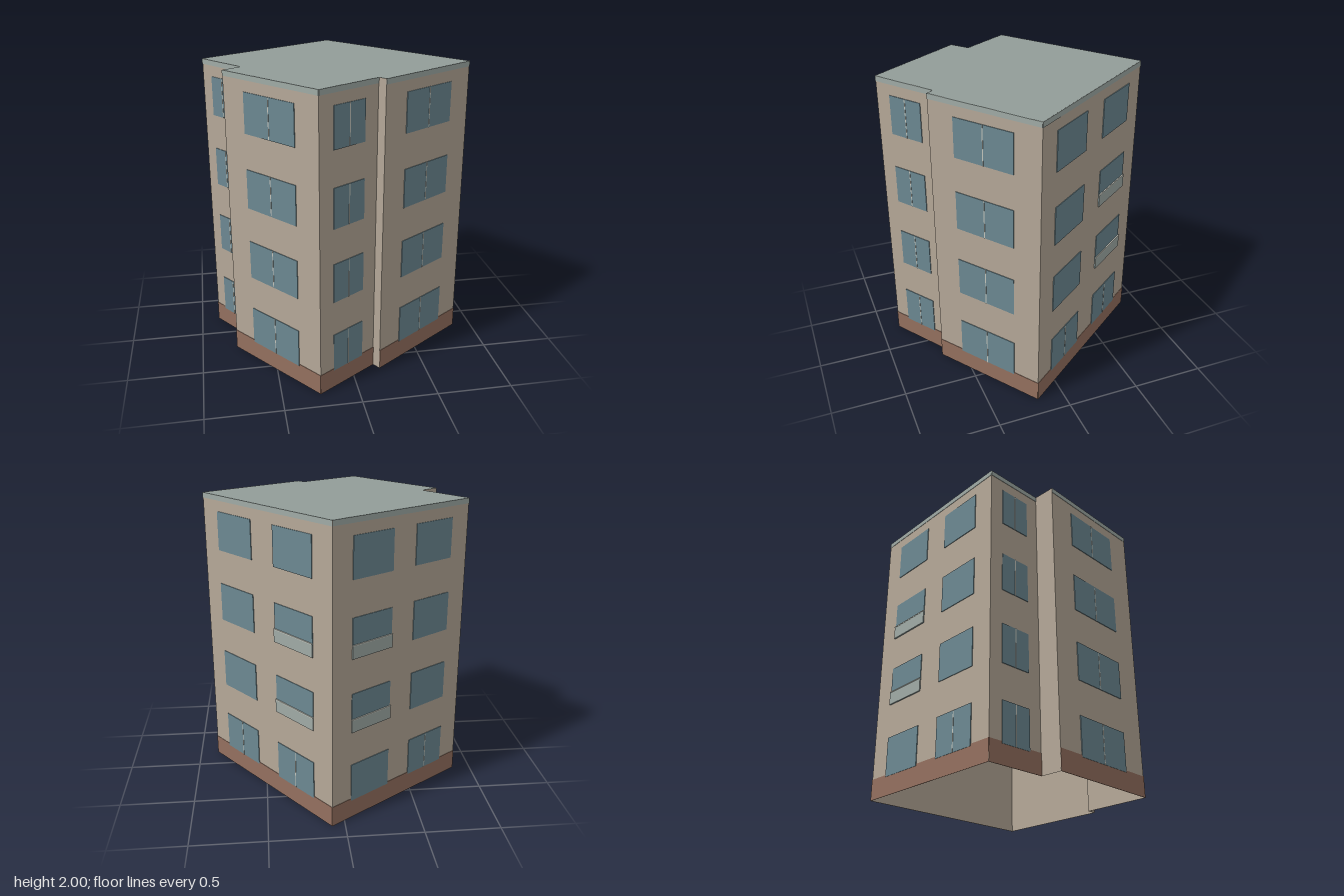
import * as THREE from 'three';

const H = 2;
const mat = (color, side = THREE.FrontSide) =>
  new THREE.MeshStandardMaterial({ color, side, flatShading: true });

// Footprint corners (x, z), running left to right as seen from outside
const E = [-0.25, 0.87], D = [0.155, 0.60], C = [0.19, 0.65], B = [0.87, 0.18];
const A = [0.085, -0.875], I = [-0.873, -0.22], G = [-0.635, 0.12], F = [-0.755, 0.21];

// Window spans are fractions of the wall; mullion: floors that have one; balcony: has railings
const allFloors = [0, 1, 2, 3];
const single = [{ from: 0.235, to: 0.768, mullion: allFloors }];
const walls = [
  { name: 'frontRightNarrowWall', p: E, q: D, windows: single },
  { name: 'frontReturnWall', p: D, q: C },
  { name: 'frontRightWideWall', p: C, q: B, windows: single },
  { name: 'backRightWall', p: B, q: A, windows: [
    { from: 0.127, to: 0.41, mullion: [0] },
    { from: 0.583, to: 0.866, mullion: [0], balcony: true }] },
  { name: 'backLeftWall', p: A, q: I, windows: [
    { from: 0.135, to: 0.418, mullion: [], balcony: true },
    { from: 0.586, to: 0.866, mullion: [0] }] },
  { name: 'frontLeftNarrowWall', p: I, q: G, windows: single },
  { name: 'sideReturnWall', p: G, q: F },
  { name: 'frontLeftWideWall', p: F, q: E, windows: single },
];

export function createModel() {
  const model = new THREE.Group();
  model.name = 'apartmentBuilding';
  const wallMat = mat(0xb5a898, THREE.DoubleSide);
  const roofMat = mat(0x929d99, THREE.DoubleSide);
  const plinthMat = mat(0x94705f);
  const glassMat = mat(0x6c8892);
  const trimMat = mat(0xa0aba6);
  const frameMat = mat(0xc4c6bd);

  // Thin slab standing on the outer face of a wall
  const slab = (parent, name, material, x0, x1, y0, y1, z0, z1) => {
    const mesh = new THREE.Mesh(new THREE.BoxGeometry(x1 - x0, y1 - y0, z1 - z0), material);
    mesh.position.set((x0 + x1) / 2, (y0 + y1) / 2, (z0 + z1) / 2);
    mesh.name = name;
    parent.add(mesh);
  };

  for (const { name, p, q, windows } of walls) {
    const dx = q[0] - p[0], dz = q[1] - p[1], len = Math.hypot(dx, dz);
    // Local x runs along the wall, local z points outward
    const group = new THREE.Group();
    group.name = name;
    group.position.set(p[0], 0, p[1]);
    group.rotation.y = Math.atan2(-dz, dx);
    model.add(group);

    const wall = new THREE.Mesh(new THREE.PlaneGeometry(len, H).translate(len / 2, H / 2, 0), wallMat);
    wall.name = 'wall';
    group.add(wall);
    if (!windows) continue;

    slab(group, 'plinth', plinthMat, 0, len, 0, 0.14, 0.0005, 0.003);
    slab(group, 'parapetBand', trimMat, 0, len, 1.965, H, 0.0005, 0.003);

    for (const { from, to, mullion, balcony } of windows) {
      const x0 = from * len, x1 = to * len, mid = (x0 + x1) / 2;
      for (const floor of allFloors) {
        const y = 0.127 + floor * 0.5;
        slab(group, 'window', glassMat, x0, x1, y, y + 0.265, 0.0005, 0.005);
        if (mullion.includes(floor))
          slab(group, 'mullion', frameMat, mid - 0.003, mid + 0.003, y, y + 0.265, 0.005, 0.007);
        // Shallow railing on the middle floors
        if (balcony && (floor === 1 || floor === 2)) {
          slab(group, 'balconyPanel', trimMat, x0 - 0.004, x1 + 0.004, y, y + 0.085, 0.005, 0.011);
          slab(group, 'balconyRail', frameMat, x0 - 0.004, x1 + 0.004, y + 0.085, y + 0.092, 0.005, 0.013);
        }
      }
    }
  }

  // Flat roof over the whole footprint
  const outline = new THREE.Shape(walls.map(({ p }) => new THREE.Vector2(p[0], -p[1])));
  const roof = new THREE.Mesh(new THREE.ShapeGeometry(outline).rotateX(-Math.PI / 2), roofMat);
  roof.position.y = H;
  roof.name = 'roof';
  model.add(roof);

  return model;
}
